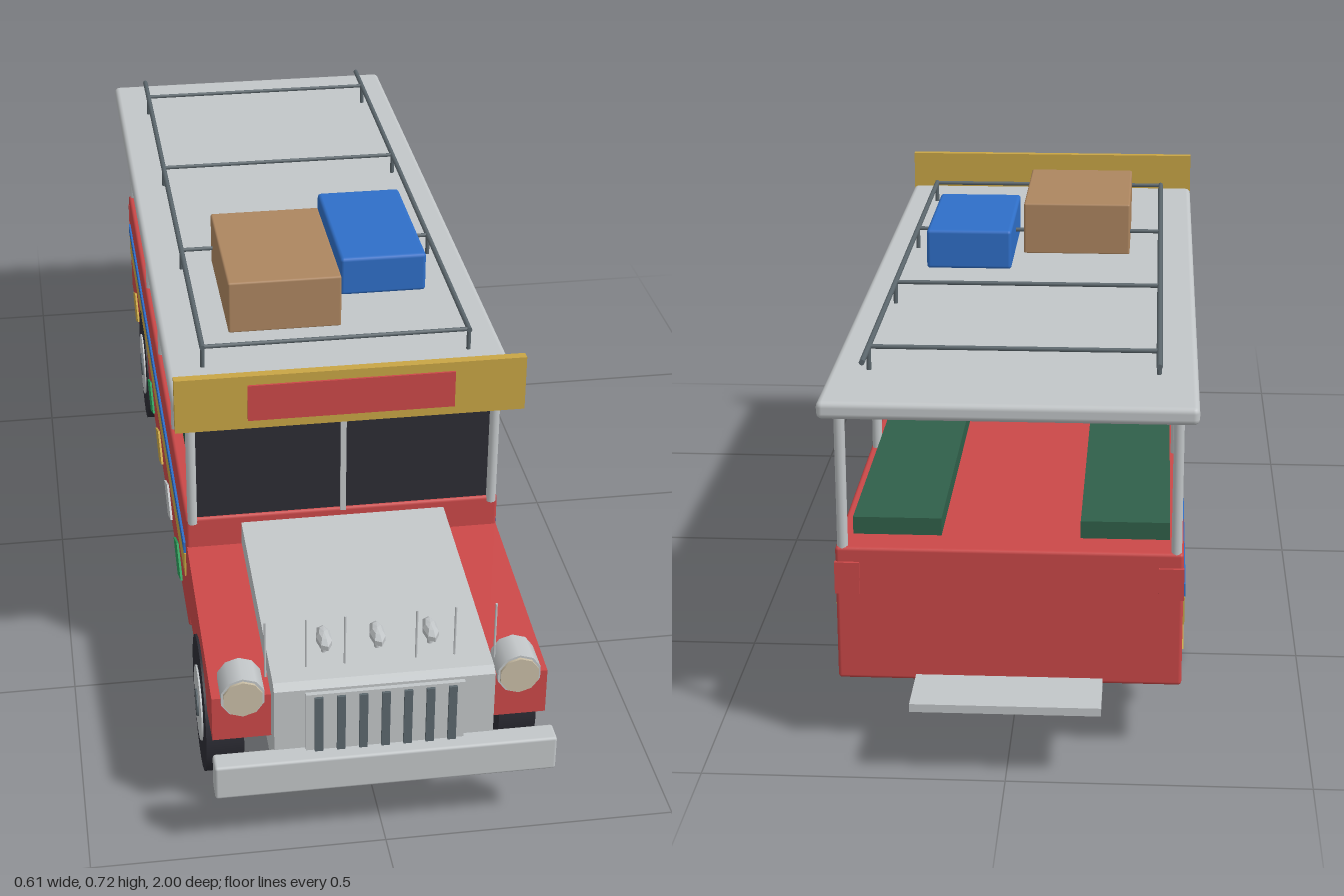
import * as THREE from 'three';
import { RoundedBoxGeometry } from 'three/addons/geometries/RoundedBoxGeometry.js';

const paint = (name, color) => {
  const m = new THREE.MeshStandardMaterial({ color });
  m.name = name;
  return m;
};

export function createModel() {
  const bus = new THREE.Group();
  bus.name = 'passengerTruck';

  const red = paint('red', 0xcb4848);
  const silver = paint('silver', 0xc2c6c8);
  const gold = paint('gold', 0xc8a545);
  const dark = paint('dark', 0x2c2c34);
  const benchGreen = paint('benchGreen', 0x30604a);
  const green = paint('green', 0x2a9d5a);
  const blue = paint('blue', 0x2f6fc8);
  const brown = paint('brown', 0xad8660);
  const cream = paint('cream', 0xc9bea6);
  const steel = paint('steel', 0x5c676d);

  const add = (name, geometry, material) => {
    const mesh = new THREE.Mesh(geometry, material);
    mesh.name = name;
    bus.add(mesh);
    return mesh;
  };
  // Boxes are given by their limits on each axis
  const box = (name, material, [x0, x1], [y0, y1], [z0, z1], bevel = 0) => {
    const size = [x1 - x0, y1 - y0, z1 - z0];
    const g = bevel ? new RoundedBoxGeometry(...size, 2, bevel) : new THREE.BoxGeometry(...size);
    g.translate((x0 + x1) / 2, (y0 + y1) / 2, (z0 + z1) / 2);
    return add(name, g, material);
  };
  // Round bar between two points
  const bar = (name, material, a, b, r, sides = 8) => {
    const p = new THREE.Vector3(...a), q = new THREE.Vector3(...b);
    const mesh = add(name, new THREE.CylinderGeometry(r, r, p.distanceTo(q), sides), material);
    mesh.position.copy(p).add(q).multiplyScalar(0.5);
    mesh.quaternion.setFromUnitVectors(new THREE.Vector3(0, 1, 0), q.sub(p).normalize());
    return mesh;
  };
  // Side profile of [z, y] points, extruded from x0 to x1
  const profile = (name, material, points, x0, x1) => {
    const shape = new THREE.Shape(points.map(([z, y]) => new THREE.Vector2(z, y)));
    const g = new THREE.ExtrudeGeometry(shape, { depth: x1 - x0, bevelEnabled: false });
    g.rotateY(-Math.PI / 2).translate(x1, 0, 0);
    return add(name, g, material);
  };

  // Main body, roof and rear step
  box('body', red, [-0.285, 0.285], [0.125, 0.36], [-0.89, 0.515], 0.006);
  box('roof', silver, [-0.305, 0.305], [0.59, 0.62], [-0.92, 0.575], 0.01);
  box('rearStep', silver, [-0.155, 0.155], [0.121, 0.135], [-1, -0.885]);

  // Destination board
  box('signBoard', gold, [-0.305, 0.305], [0.588, 0.69], [0.58, 0.596]);
  box('signPanel', red, [-0.18, 0.18], [0.605, 0.673], [0.595, 0.6]);

  // Windscreen with central divider
  box('windscreen', dark, [-0.265, 0.265], [0.355, 0.592], [0.502, 0.51]);
  box('windscreenDivider', silver, [-0.005, 0.005], [0.355, 0.592], [0.5, 0.516]);

  // Engine hood and grille
  profile('hood', silver, [[0.51, 0.15], [0.965, 0.125], [0.965, 0.303], [0.95, 0.311], [0.51, 0.345]], -0.185, 0.185);
  box('grille', silver, [-0.133, 0.133], [0.15, 0.298], [0.96, 0.973]);
  for (let i = -3; i <= 3; i++) {
    const x = i * 0.0373;
    box('grilleSlot', steel, [x - 0.007, x + 0.007], [0.155, 0.293], [0.97, 0.978]);
  }
  box('frontBumper', silver, [-0.288, 0.288], [0.12, 0.185], [0.96, 1], 0.005);

  // Hood ornaments
  for (const x of [-0.09, 0, 0.09]) {
    const ornament = add('hoodOrnament', new THREE.SphereGeometry(0.014, 7, 5).toNonIndexed(), silver);
    ornament.geometry.computeVertexNormals();
    ornament.scale.z = 2.4;
    ornament.position.set(x, 0.342, 0.88);
    bar('ornamentStem', silver, [x, 0.305, 0.88], [x, 0.34, 0.88], 0.005);
  }

  for (const s of [-1, 1]) {
    const span = (a, b) => (s > 0 ? [a, b] : [-b, -a]);

    // Fenders and headlights
    profile('fender', red, [[0.51, 0.16], [0.925, 0.185], [0.925, 0.27], [0.51, 0.3]], ...span(0.18, 0.284));
    bar('headlight', silver, [s * 0.233, 0.275, 0.875], [s * 0.233, 0.275, 0.935], 0.038, 10);
    bar('headlightLens', cream, [s * 0.233, 0.275, 0.93], [s * 0.233, 0.275, 0.94], 0.034, 10);

    // Whip antennas
    for (const x of [0.06, 0.125, 0.193]) {
      bar('antenna', silver, [s * x, 0.3, 0.915], [s * x, 0.408, 0.915], 0.002, 6);
    }

    // Wheels
    for (const z of [0.735, -0.505]) {
      bar('tyre', dark, [s * 0.223, 0.12, z], [s * 0.288, 0.12, z], 0.12, 24);
      bar('wheelHub', silver, [s * 0.28, 0.12, z], [s * 0.291, 0.12, z], 0.067, 16);
      bar('wheelCap', steel, [s * 0.285, 0.12, z], [s * 0.294, 0.12, z], 0.025, 10);
    }

    // Roof pillars
    for (const z of [0.512, 0.19, -0.11, -0.41, -0.88]) {
      bar('pillar', silver, [s * 0.273, 0.35, z], [s * 0.273, 0.6, z], 0.009, 10);
    }

    // Benches and tail lamps
    box('bench', benchGreen, span(0.115, 0.262), [0.355, 0.39], [-0.83, 0.4]);
    box('tailLamp', red, span(0.245, 0.286), [0.28, 0.335], [-0.895, -0.887]);

    // Painted side stripes and diamonds
    box('blueStripe', blue, span(0.282, 0.289), [0.275, 0.297], [-0.865, 0.495]);
    box('goldStripe', gold, span(0.282, 0.288), [0.225, 0.273], [-0.865, 0.495]);
    [green, silver, gold, green, silver, gold].forEach((material, i) => {
      const z = 0.325 - i * 0.21;
      const diamond = [[z - 0.075, 0.15], [z, 0.115], [z + 0.075, 0.15], [z, 0.185]];
      profile('diamond', material, diamond, ...span(0.282, 0.289));
    });

    // Rack side rails and posts
    bar('rackRail', steel, [s * 0.24, 0.66, -0.835], [s * 0.24, 0.66, 0.43], 0.005);
    for (const z of [0.425, 0.033, -0.358, -0.748]) {
      bar('rackPost', steel, [s * 0.24, 0.615, z], [s * 0.24, 0.66, z], 0.004);
    }
  }

  // Rack cross bars and luggage
  for (const z of [0.425, 0.033, -0.358, -0.748]) {
    bar('rackCrossBar', steel, [-0.24, 0.66, z], [0.24, 0.66, z], 0.004);
  }
  box('brownCrate', brown, [-0.18, 0.028], [0.618, 0.72], [0.005, 0.305], 0.004);
  box('blueSuitcase', blue, [0.045, 0.208], [0.618, 0.695], [-0.115, 0.185], 0.007);

  return bus;
}
